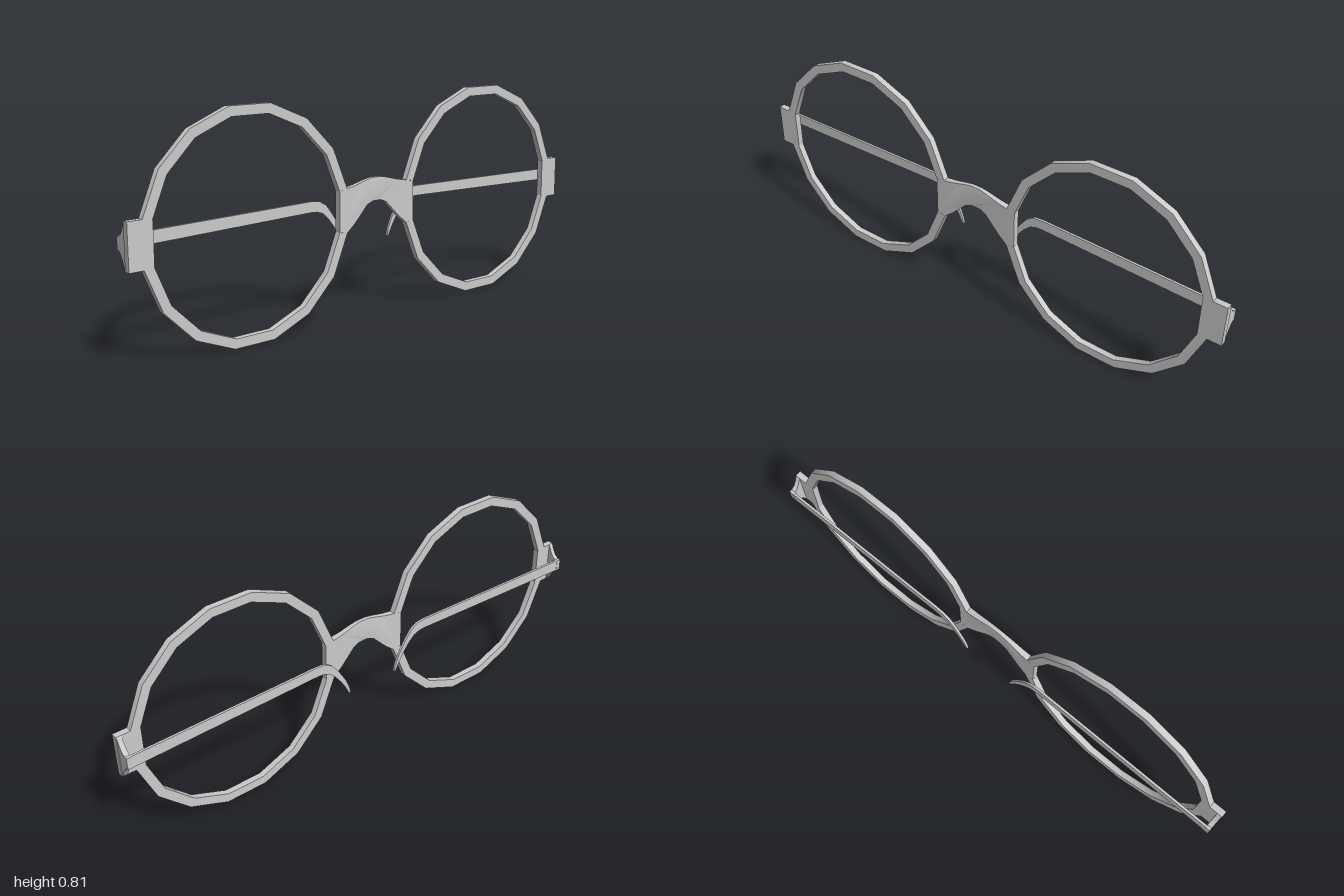
import * as THREE from 'three';
import { toCreasedNormals } from 'three/addons/utils/BufferGeometryUtils.js';

const material = new THREE.MeshStandardMaterial({ color: 0xcccccc });
const BACK = 0.012, FRONT = 0.036; // thickness of the frame along x
const CY = 0.405, CZ = 0.545;      // lens centre

const makeMesh = (name, geometry) => {
  const mesh = new THREE.Mesh(toCreasedNormals(geometry, 0.5), material);
  mesh.name = name;
  return mesh;
};

const extrude = (points, depth) => new THREE.ExtrudeGeometry(
  new THREE.Shape(points.map(([a, b]) => new THREE.Vector2(a, b))),
  { depth, bevelEnabled: false });

// Flat plate drawn as [z, y] points, filling x0..x1
function plate(points, x0, x1) {
  const g = extrude(points.map(([z, y]) => [-z, y]), x1 - x0);
  return g.rotateY(Math.PI / 2).translate(x0, 0, 0);
}

// Half of a sixteen-sided rim, open where bridge and end piece join
function rimArc(side, up) {
  const arc = (r) => Array.from({ length: 8 }, (_, i) => {
    const a = (i + 0.5) * Math.PI / 8;
    return [side * (CZ + r * Math.cos(a)), CY + up * r * Math.sin(a)];
  });
  return plate([...arc(0.411), ...arc(0.376).reverse()], BACK, FRONT);
}

// Bridge: symmetric arch that grows thinner towards the middle
function bridgeGeometry() {
  const top = [[0.176, 0.478], [0.142, 0.485], [0.1, 0.492], [0.05, 0.505], [0.02, 0.511]];
  const bottom = [[0.02, 0.425], [0.045, 0.415], [0.075, 0.385], [0.105, 0.355], [0.142, 0.325], [0.176, 0.332]];
  const mirror = (pts) => pts.map(([z, y]) => [-z, y]).reverse();
  const g = plate([...top, ...mirror(top), ...mirror(bottom), ...bottom], BACK, FRONT);
  const p = g.attributes.position, mid = (BACK + FRONT) / 2;
  for (let i = 0; i < p.count; i++) {
    const k = 0.55 + 0.45 * Math.min(1, Math.abs(p.getZ(i)) / 0.14);
    p.setX(i, mid + (p.getX(i) - mid) * k);
  }
  return g;
}

// Folded temple arm with a hooked, tapering ear end
const ARM = [
  [0.995, 0.43], [0.25, 0.443], [0.215, 0.439], [0.185, 0.421], [0.155, 0.382], [0.125, 0.332],
  [0.11, 0.295], [0.104, 0.268], [0.112, 0.27], [0.128, 0.303], [0.15, 0.338], [0.175, 0.37],
  [0.2, 0.393], [0.225, 0.402], [0.25, 0.404], [0.995, 0.385],
];

// End piece beside the rim, as [z, y]
const END = [[0.912, 0.478], [0.947, 0.485], [1, 0.485], [1, 0.325], [0.947, 0.325], [0.912, 0.332]];

// Hinge plate narrowing from the frame to the arm, as [x, y]
const HINGE = [
  [BACK, 0.485], [0, 0.458], [-0.012, 0.44], [-0.026, 0.43], [-0.038, 0.43],
  [-0.038, 0.385], [-0.028, 0.385], [-0.018, 0.375], [-0.005, 0.355], [BACK, 0.325],
];

export function createModel() {
  const model = new THREE.Group();
  model.name = 'foldedGlasses';
  model.add(makeMesh('bridge', bridgeGeometry()));

  for (const side of [1, -1]) {
    const half = new THREE.Group();
    half.name = side > 0 ? 'frontHalf' : 'rearHalf';
    const flip = (pts) => pts.map(([z, y]) => [side * z, y]);
    const hinge = extrude(HINGE, 0.018).translate(0, 0, side > 0 ? 0.98 : -0.998);
    half.add(
      makeMesh('upperRim', rimArc(side, 1)),
      makeMesh('lowerRim', rimArc(side, -1)),
      makeMesh('endPiece', plate(flip(END), BACK, FRONT)),
      makeMesh('hinge', hinge),
      makeMesh('templeArm', plate(flip(ARM), -0.037, -0.028)),
    );
    model.add(half);
  }
  return model;
}
